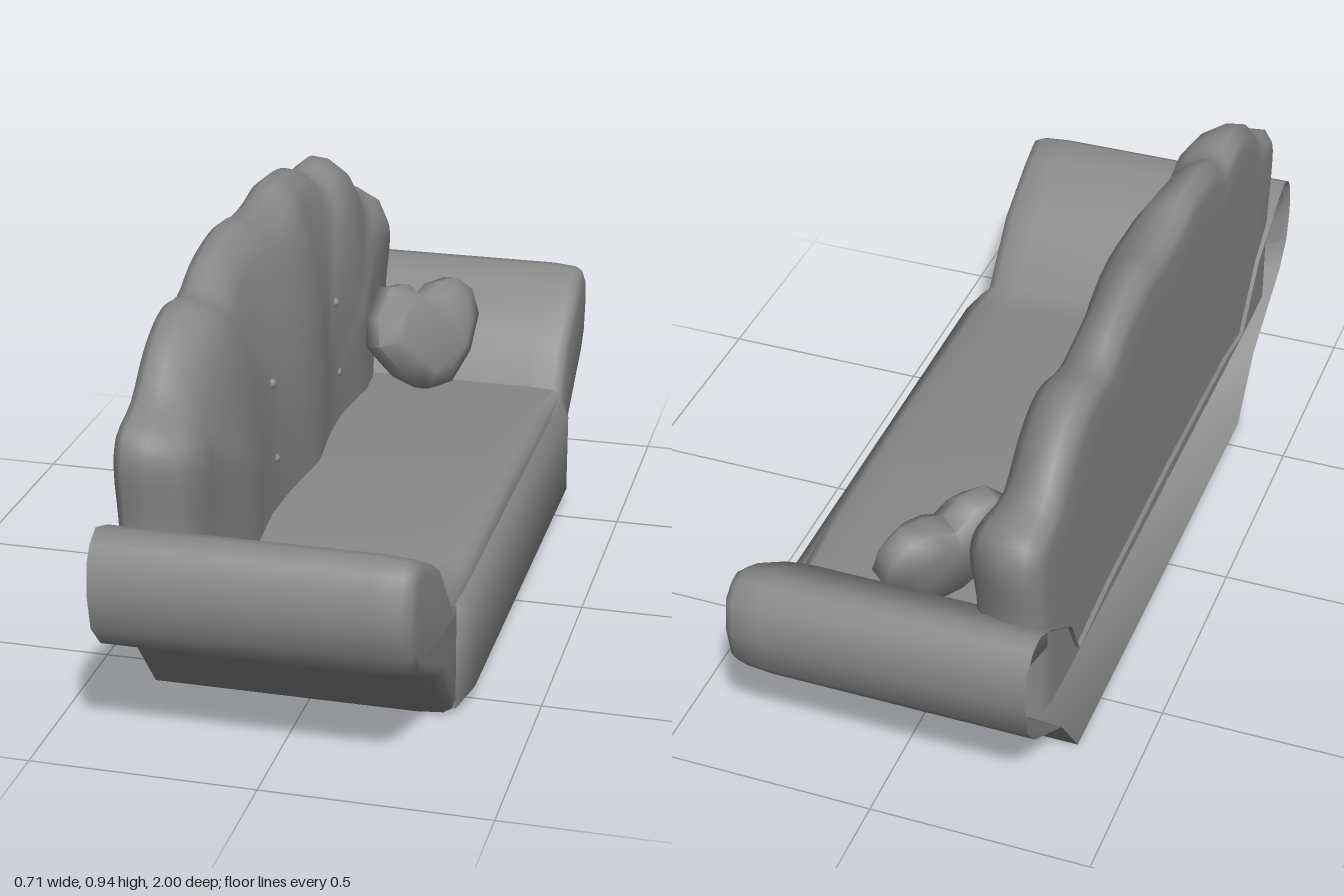
import * as THREE from 'three';
import { toCreasedNormals } from 'three/addons/utils/BufferGeometryUtils.js';

const material = new THREE.MeshStandardMaterial({ color: 0x888888, side: THREE.DoubleSide });

// Moves a counter-clockwise outline inwards by d
function inset(outline, d) {
  const n = outline.length;
  return outline.map((p, i) => {
    const a = outline[(i + n - 1) % n], b = outline[(i + 1) % n];
    const dx = b[0] - a[0], dy = b[1] - a[1], l = Math.hypot(dx, dy);
    return [p[0] - dy / l * d, p[1] + dx / l * d];
  });
}

// Closed solid through sections [x(y), outline]; outlines hold [-z, y] pairs
function loft(sections, crease) {
  const n = sections[0][1].length, pos = [], index = [];
  for (const [x, outline] of sections) {
    for (const [r, y] of outline) pos.push(typeof x === 'function' ? x(y) : x, y, -r);
  }
  for (let i = 0; i < sections.length - 1; i++) {
    for (let j = 0; j < n; j++) {
      const k = (j + 1) % n, a = i * n + j, b = i * n + k;
      index.push(a, b, a + n, b, b + n, a + n);
    }
  }
  const cap = (s, front) => {
    const pts = sections[s][1].map(p => new THREE.Vector2(...p));
    for (const [a, b, c] of THREE.ShapeUtils.triangulateShape(pts, [])) {
      const ccw = THREE.ShapeUtils.area([pts[a], pts[b], pts[c]]) > 0;
      const t = ccw === front ? [a, b, c] : [a, c, b];
      index.push(...t.map(v => v + s * n));
    }
  };
  cap(0, false);
  cap(sections.length - 1, true);
  const g = new THREE.BufferGeometry();
  g.setAttribute('position', new THREE.Float32BufferAttribute(pos, 3));
  g.setIndex(index);
  return toCreasedNormals(g, crease);
}

// Seat, floor and rolled arms in one outline
function bodyGeometry() {
  const o = [
    [-0.59, 0], [0.66, 0], [0.77, 0.15], [0.94, 0.265], [0.985, 0.32], [1, 0.4],
    [0.99, 0.48], [0.95, 0.515], [0.91, 0.52], [0.85, 0.49], [0.71, 0.385], [0.655, 0.28],
    [0.45, 0.3], [0, 0.308], [-0.45, 0.3], [-0.59, 0.28], [-0.71, 0.42],
    [-0.86, 0.5], [-0.93, 0.525], [-0.97, 0.505], [-0.99, 0.475], [-1, 0.4], [-0.985, 0.32],
    [-0.93, 0.26], [-0.71, 0.145],
  ];
  // The back slopes inwards from the seat and arm tops down to the floor
  const recess = y => y < 0.275 ? -0.2 : -0.34;
  return loft([
    [recess, inset(o, 0.008)], [-0.355, o],
    [0.24, o], [0.3, inset(o, 0.005)], [0.318, inset(o, 0.016)], [0.325, inset(o, 0.034)],
  ], 1.1);
}

// Raised cushion panel along the front of the seat
function panelGeometry() {
  const rect = (r0, r1, y0, y1) => [[r0, y0], [r1, y0], [r1, y1], [r0, y1]];
  return loft([
    [0.3, rect(-0.58, 0.64, 0.012, 0.262)], [0.325, rect(-0.58, 0.64, 0.012, 0.262)],
    [0.355, rect(-0.52, 0.58, 0.04, 0.238)],
  ], 1.2);
}

// Front surface of the padded back: ripples in the middle, fuller at the ends
function padding(z) {
  const end = THREE.MathUtils.smoothstep(Math.abs(z), 0.68, 0.87);
  const ripple = Math.abs(z) < 0.54 ? 0.013 * (Math.cos(2 * Math.PI * z / 0.54) - 1) : 0;
  return ripple + 0.05 * end;
}

// Scalloped back as rings shrinking towards a low centre
function backGeometry() {
  const half = [[0.87, 0.25], [0.872, 0.5], [0.892, 0.65], [0.87, 0.705], [0.77, 0.745], [0.68, 0.825],
    [0.6, 0.867], [0.53, 0.88], [0.44, 0.87], [0.35, 0.91], [0.27, 0.93], [0.16, 0.94], [0.08, 0.927]];
  const pts = [...half, [0, 0.922], ...half.map(([z, y]) => [-z, y]).reverse()];
  const arc = new THREE.CatmullRomCurve3(
    pts.map(([z, y]) => new THREE.Vector3(0, y, z)), false, 'centripetal').getPoints(78);
  const rings = [[0.01, -0.345], [0.8, -0.345], [0.93, -0.343], [0.97, -0.335], [1, -0.31], [0.995, -0.275],
    [0.96, -0.23], [0.9, -0.198], [0.8, -0.178], [0.7, -0.161], [0.58, -0.148], [0.48, -0.142],
    [0.35, -0.138], [0.2, -0.137], [0.01, -0.137]];
  const n = arc.length, pos = [], index = [];
  rings.forEach(([s, x], i) => {
    const weight = THREE.MathUtils.clamp((i - 4) / 3, 0, 1);
    for (const p of arc) pos.push(x + padding(p.z * s) * weight, 0.25 + (p.y - 0.25) * s, p.z * s);
  });
  for (let i = 0; i < rings.length - 1; i++) {
    for (let j = 0; j < n - 1; j++) {
      const a = i * n + j;
      index.push(a, a + n, a + 1, a + 1, a + n, a + n + 1);
    }
  }
  const g = new THREE.BufferGeometry();
  g.setAttribute('position', new THREE.Float32BufferAttribute(pos, 3));
  g.setIndex(index);
  g.computeVertexNormals();
  return g;
}

// Puffy low-poly heart
function heartGeometry() {
  const o = [[-0.04, -0.14], [0.04, -0.14], [0.12, -0.08], [0.172, 0.005], [0.165, 0.07], [0.12, 0.112],
    [0.055, 0.112], [0, 0.085], [-0.04, 0.13], [-0.1, 0.135], [-0.16, 0.07], [-0.175, 0], [-0.11, -0.09]];
  const scaled = s => o.map(([r, y]) => [r * s, y * s]);
  return loft([[-0.055, scaled(0.7)], [-0.025, o], [0.025, o], [0.055, scaled(0.7)]], 1.2);
}

export function createModel() {
  const model = new THREE.Group();
  model.name = 'sofa';
  const add = (name, geometry) => {
    const mesh = new THREE.Mesh(geometry, material);
    mesh.name = name;
    model.add(mesh);
    return mesh;
  };
  add('seatAndArms', bodyGeometry());
  add('frontPanel', panelGeometry());
  add('scallopedBack', backGeometry());

  // Tufting buttons
  const button = new THREE.SphereGeometry(0.012, 10, 8);
  for (const z of [0.26, -0.29]) {
    for (const [y, x] of [[0.6, -0.174], [0.42, -0.168]]) add('backButton', button).position.set(x, y, z);
  }

  // Heart pillow turned into the corner and leaning back
  const pillow = add('heartPillow', heartGeometry());
  pillow.position.set(-0.025, 0.425, -0.605);
  pillow.rotation.set(0, -0.585, 0.28);
  return model;
}
